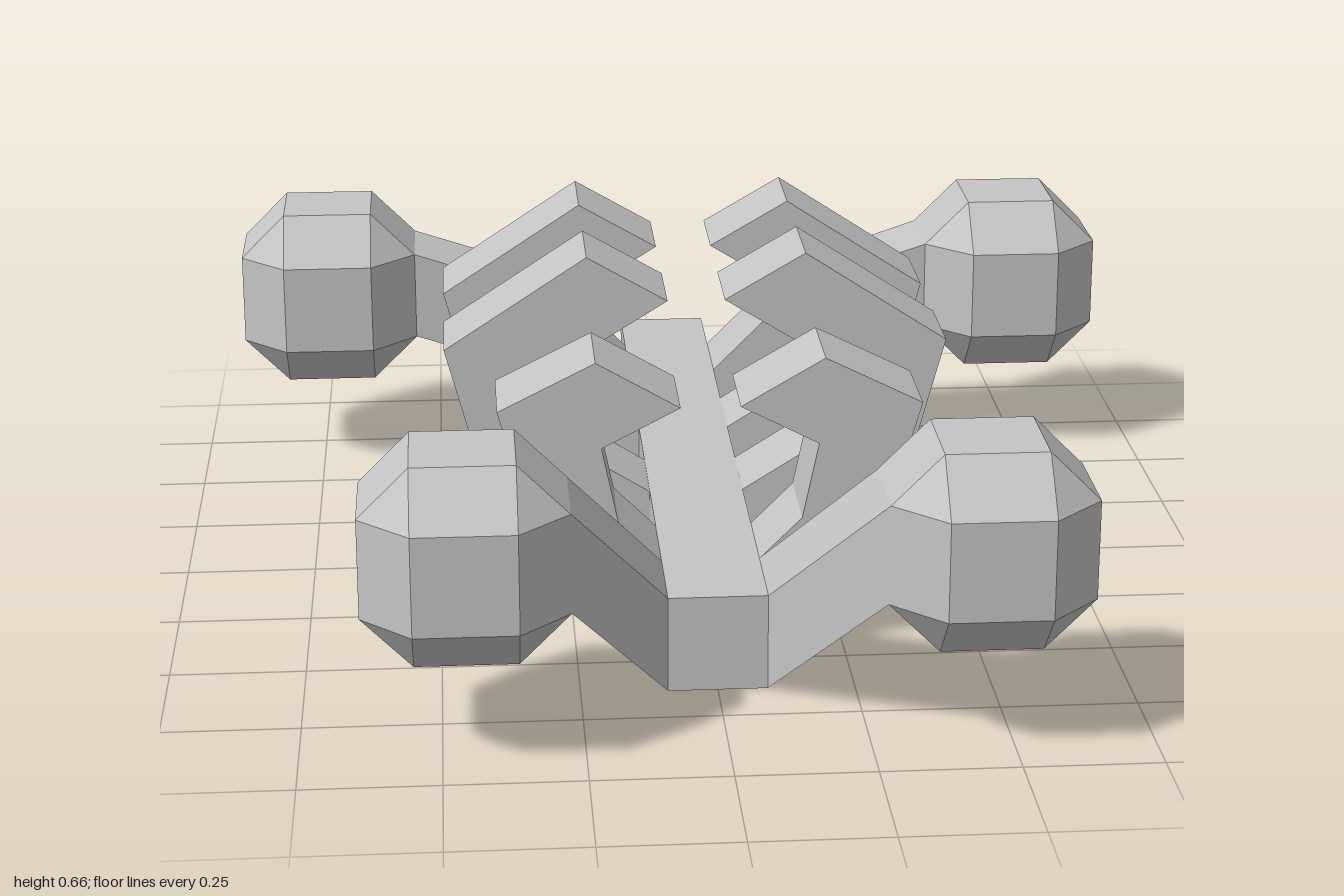
import * as THREE from 'three';
import { ConvexGeometry } from 'three/addons/geometries/ConvexGeometry.js';

const U = 1 / 11; // modelling unit, half the width of a beam

export function createModel() {
  const model = new THREE.Group();
  const grey = new THREE.MeshStandardMaterial({ color: 0xc4c4c4 });
  grey.name = 'light grey';

  const add = (name, geometry, x = 0, y = 0, z = 0) => {
    const mesh = new THREE.Mesh(geometry, grey);
    mesh.name = name;
    mesh.position.set(x, y, z);
    model.add(mesh);
  };

  // Front-view outline, mirrored by side, extruded to the beam width around z = 0
  const slab = (points, side) => {
    const shape = new THREE.Shape(points.map(([x, y]) => new THREE.Vector2(x * side, y)));
    return new THREE.ExtrudeGeometry(shape, { depth: 2 * U, bevelEnabled: false }).translate(0, 0, -U);
  };

  // Faceted ball: square faces joined by bevels and corner triangles
  const knobPoints = [];
  for (const a of [-U, U]) for (const b of [-U, U]) for (const c of [-2 * U, 2 * U]) {
    knobPoints.push(new THREE.Vector3(a, b, c), new THREE.Vector3(a, c, b), new THREE.Vector3(c, a, b));
  }
  const knob = new ConvexGeometry(knobPoints);

  // Spine
  add('spine', new THREE.BoxGeometry(2 * U, 2 * U, 18 * U), 0, U, -2 * U);

  const rearArm = [[1, 0], [3, 2], [6, 3], [6, 5], [3, 4], [1, 2]].map(([x, y]) => [x * U, y * U]);
  const largeRib = [[0.09, 0], [0.41, 0.2], [0.485, 0.48], [0.21, 0.66],
    [0.055, 0.57], [0.29, 0.425], [0.25, 0.28], [0.09, 0.18]];
  const smallRib = [[0.09, 0], [0.31, 0.2], [0.39, 0.48], [0.21, 0.57],
    [0.055, 0.48], [0.2, 0.405], [0.17, 0.26], [0.09, 0.18]];

  for (const side of [1, -1]) {
    const label = side > 0 ? 'left' : 'right';

    // Ribs
    add(label + 'FrontRib', slab(smallRib, side), 0, 0, 4 * U);
    add(label + 'MiddleRib', slab(largeRib, side), 0, 0, 0);
    add(label + 'RearRib', slab(largeRib, side), 0, 0, -4 * U);

    // Rear arm and its knob
    add(label + 'RearArm', slab(rearArm, side), 0, 0, -8 * U);
    add(label + 'RearKnob', knob, side * 8 * U, 4 * U, -8 * U);

    // Front arm: a box sheared upward and forward as it leaves the spine
    const arm = new THREE.BoxGeometry(2 * U, 2 * U, 2 * U);
    const p = arm.attributes.position;
    for (let i = 0; i < p.count; i++) {
      const t = (p.getX(i) * side + U) / (2 * U);
      p.setY(i, p.getY(i) + 3 * U * t);
      p.setZ(i, p.getZ(i) + 3 * U * t);
    }
    arm.computeVertexNormals();
    add(label + 'FrontArm', arm, side * 2 * U, U, 6 * U);
    add(label + 'FrontKnob', knob, side * 5 * U, 4 * U, 9 * U);
  }
  return model;
}
